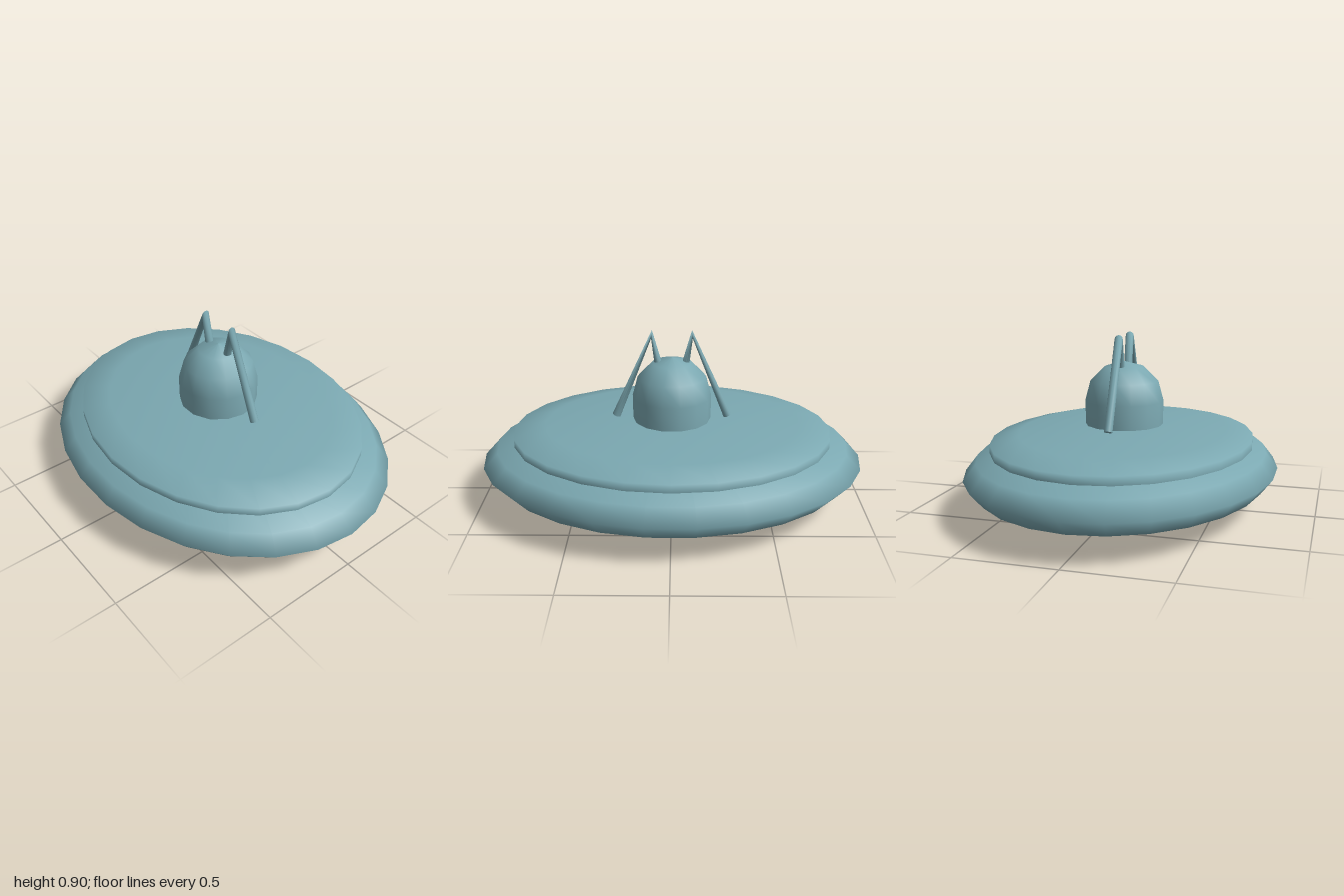
import * as THREE from 'three';

// Two straight legs joined by a mitred bend at t = 0.5
class BentPath extends THREE.Curve {
  constructor(a, b, c) {
    super();
    this.p = [a, b, c];
  }
  getPoint(t, target = new THREE.Vector3()) {
    const [a, b, c] = this.p;
    return t < 0.5 ? target.lerpVectors(a, b, t * 2) : target.lerpVectors(b, c, t * 2 - 1);
  }
  getPointAt(t, target) {
    return this.getPoint(t, target);
  }
  getTangentAt(t, target = new THREE.Vector3()) {
    const [a, b, c] = this.p;
    const d1 = b.clone().sub(a).normalize();
    const d2 = c.clone().sub(b).normalize();
    if (t < 0.49) return target.copy(d1);
    if (t > 0.51) return target.copy(d2);
    return target.copy(d1).add(d2).normalize();
  }
}

export function createModel() {
  const model = new THREE.Group();
  const teal = new THREE.MeshStandardMaterial({ color: 0x7ba8b1, side: THREE.DoubleSide });
  teal.name = 'dusty teal';

  const add = (name, geometry) => {
    const mesh = new THREE.Mesh(geometry, teal);
    mesh.name = name;
    model.add(mesh);
    return mesh;
  };
  const lathe = (points, sides) =>
    new THREE.LatheGeometry(points.map(([r, y]) => new THREE.Vector2(r, y)), sides, Math.PI / 2);

  // Oval lens-shaped hull
  const hull = add('hull', new THREE.SphereGeometry(1, 26, 8));
  hull.scale.set(1, 0.208, 0.8);
  hull.position.y = 0.208;

  // Oval upper deck with a thin upright rim
  const deck = add('upperDeck', lathe([
    [0.7, 0.322], [0.835, 0.322], [0.835, 0.322], [0.835, 0.365],
    [0.665, 0.4], [0.28, 0.425], [0, 0.428],
  ], 24));
  deck.scale.z = 0.805;

  // Dome: straight lower wall topped by a half sphere
  const domeProfile = [[0.203, 0.4]];
  for (let i = 0; i <= 3; i++) {
    const a = (i * Math.PI) / 6;
    domeProfile.push([0.205 * Math.cos(a), 0.55 + 0.205 * Math.sin(a)]);
  }
  add('dome', lathe(domeProfile, 14));

  // Bent struts rising from the deck and dropping into the dome
  for (const s of [1, -1]) {
    const path = new BentPath(
      new THREE.Vector3(s * 0.292, 0.437, 0),
      new THREE.Vector3(s * 0.104, 0.877, 0),
      new THREE.Vector3(s * 0.064, 0.69, 0),
    );
    add(s > 0 ? 'leftStrut' : 'rightStrut', new THREE.TubeGeometry(path, 2, 0.022, 12));

    // Foot cap closing the strut's outer end
    const cap = add(s > 0 ? 'leftStrutFoot' : 'rightStrutFoot', new THREE.CircleGeometry(0.022, 12));
    cap.position.copy(path.p[0]);
    cap.lookAt(path.p[0].clone().multiplyScalar(2).sub(path.p[1]));
  }

  return model;
}
